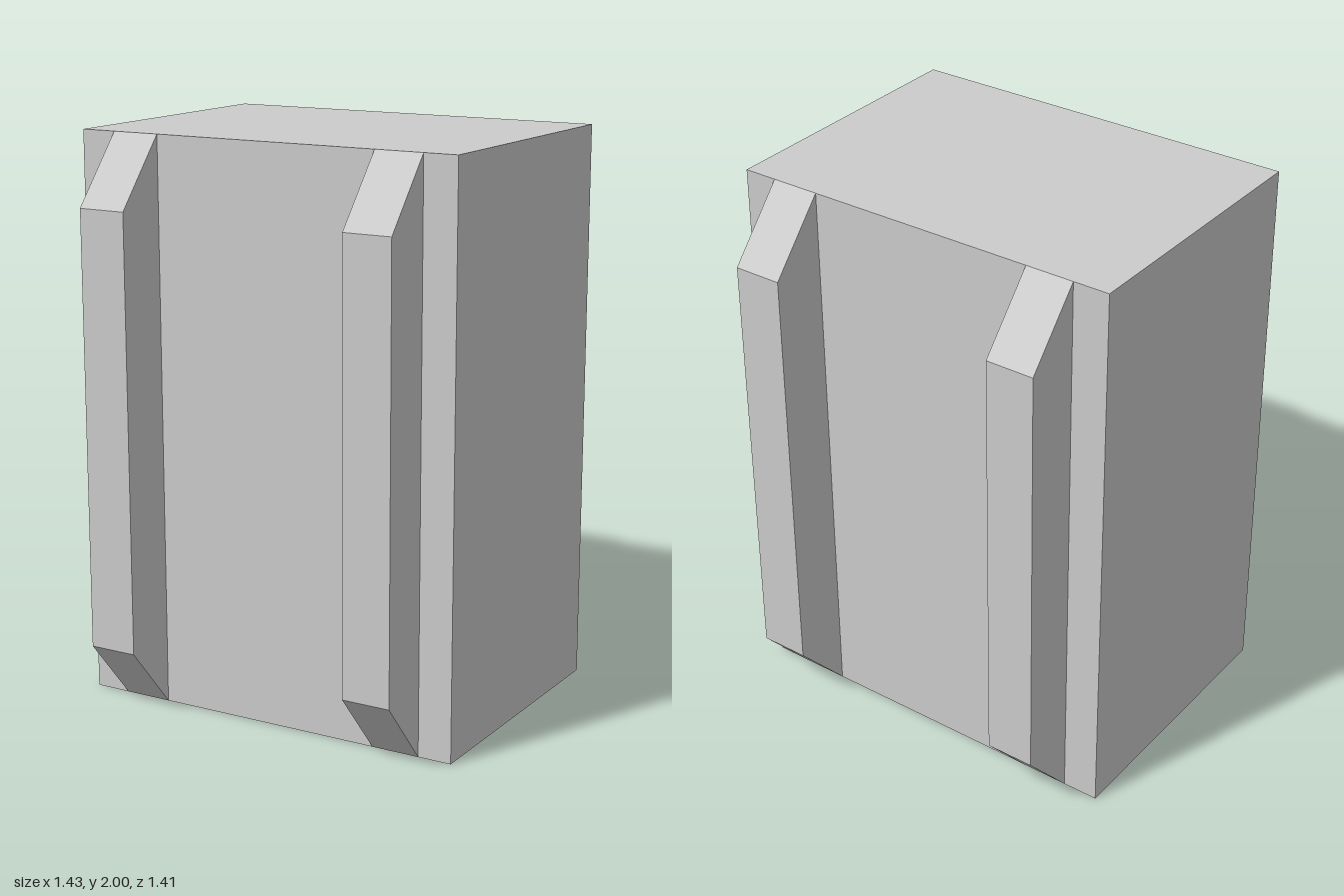
import * as THREE from 'three';

export function createModel() {
  const model = new THREE.Group();
  model.name = 'crate';
  const material = new THREE.MeshStandardMaterial({ color: 0xcccccc, flatShading: true });

  const height = 2, back = -0.5, front = 0.506, reach = 0.707;
  const ribWidth = 0.174, bevel = 0.235;

  // Main block
  const body = new THREE.Mesh(new THREE.BoxGeometry(1.426, height, front - back), material);
  body.name = 'body';
  body.position.set(0, height / 2, (front + back) / 2);
  model.add(body);

  // Upright rib with sloped ends, extruded across its width
  function addRib(name, x, side) {
    const root = side > 0 ? front : -back;
    const profile = new THREE.Shape([
      new THREE.Vector2(root, 0),
      new THREE.Vector2(reach, bevel),
      new THREE.Vector2(reach, height - bevel),
      new THREE.Vector2(root, height),
    ]);
    const geometry = new THREE.ExtrudeGeometry(profile, { depth: ribWidth, bevelEnabled: false });
    geometry.translate(0, 0, -ribWidth / 2);
    const rib = new THREE.Mesh(geometry, material);
    rib.name = name;
    rib.rotation.y = -side * Math.PI / 2; // profile x points to the front or back
    rib.position.x = x;
    model.add(rib);
  }

  // Two ribs on the front and two on the back
  for (const [label, x] of [['Left', 0.505], ['Right', -0.497]]) {
    addRib('front' + label + 'Rib', x, 1);
    addRib('back' + label + 'Rib', x, -1);
  }
  return model;
}
